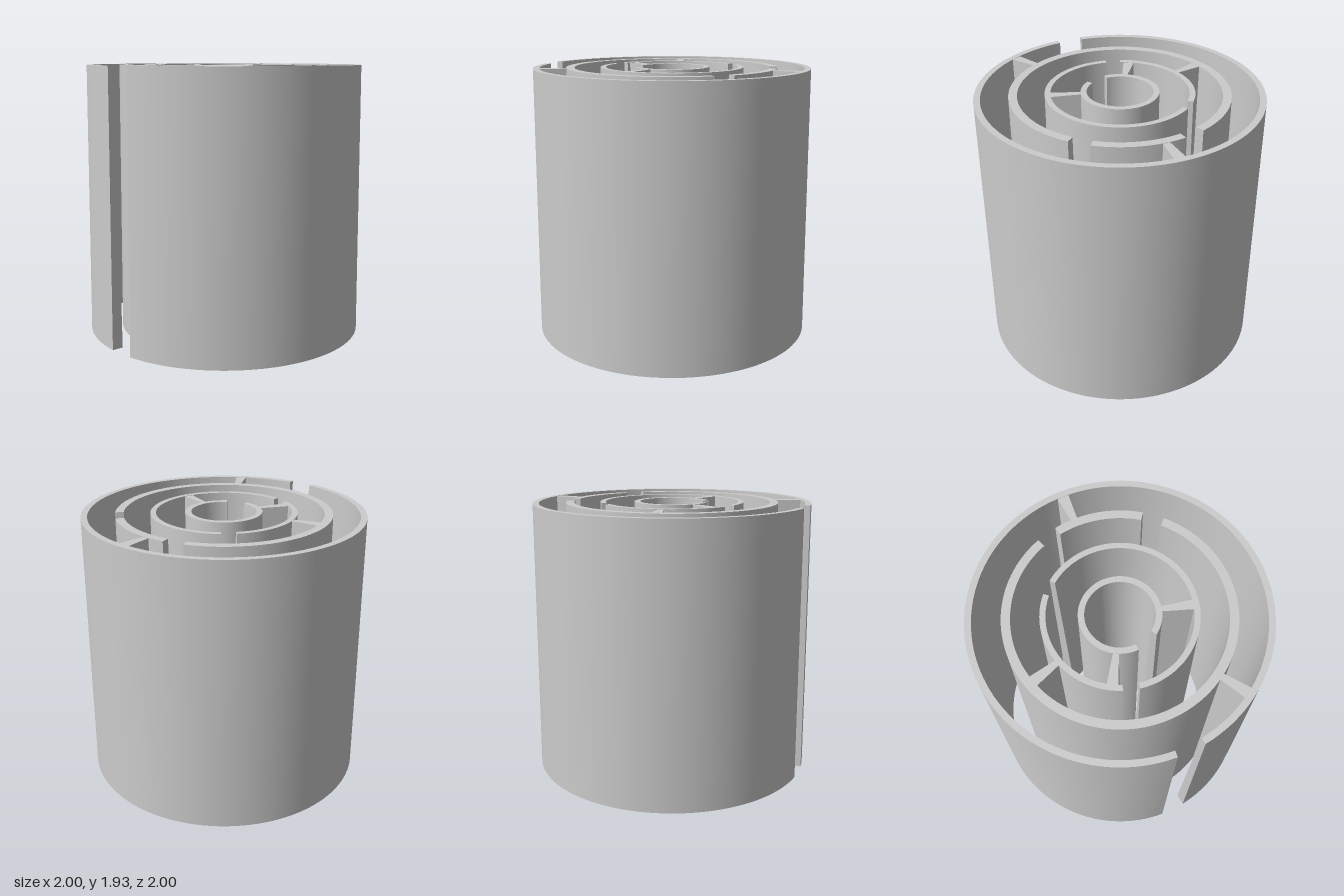
import * as THREE from 'three';
import { toCreasedNormals } from 'three/addons/utils/BufferGeometryUtils.js';

const HEIGHT = 1.93;
const DRAFT = 0.018; // walls get thinner towards the top
const rad = THREE.MathUtils.degToRad;
const material = new THREE.MeshStandardMaterial({ color: 0xcccccc });

// Skins a row of four-cornered sections and caps both ends.
function loft(sections) {
  const pos = [];
  const quad = (a, b, c, d) => [a, b, c, a, c, d].forEach((p) => pos.push(...p));
  for (let i = 0; i < sections.length - 1; i++) {
    const s = sections[i], t = sections[i + 1];
    for (let k = 0; k < 4; k++) {
      const n = (k + 1) % 4;
      quad(s[k], t[k], t[n], s[n]);
    }
  }
  const first = sections[0], last = sections[sections.length - 1];
  quad(first[0], first[1], first[2], first[3]);
  quad(last[3], last[2], last[1], last[0]);
  const geometry = new THREE.BufferGeometry();
  geometry.setAttribute('position', new THREE.Float32BufferAttribute(pos, 3));
  return toCreasedNormals(geometry, rad(30));
}

// Curved upright wall; angles in degrees run from +x towards +z.
function arcWall(inner, outer, from, to) {
  const steps = Math.ceil((to - from) / 3);
  const sections = [];
  for (let i = 0; i <= steps; i++) {
    const a = rad(from + ((to - from) * i) / steps);
    const at = (r, y) => [r * Math.cos(a), y, r * Math.sin(a)];
    sections.push([
      at(inner, 0), at(inner + DRAFT, HEIGHT), at(outer - DRAFT, HEIGHT), at(outer, 0),
    ]);
  }
  return loft(sections);
}

// Radial rib between two rings, wider at its outer end and at its foot.
function rib(r0, r1, angle, w0, w1) {
  const a = rad(angle);
  const section = (r, w) => {
    const at = (s, y) => [
      r * Math.cos(a) - s * Math.sin(a), y, r * Math.sin(a) + s * Math.cos(a),
    ];
    const foot = w / 2, top = foot - DRAFT;
    return [at(-foot, 0), at(foot, 0), at(top, HEIGHT - 0.002), at(-top, HEIGHT - 0.002)];
  };
  return loft([section(r0, w0), section(r1, w1)]);
}

export function createModel() {
  const model = new THREE.Group();
  model.name = 'roundMaze';
  const add = (name, geometry) => {
    const mesh = new THREE.Mesh(geometry, material);
    mesh.name = name;
    model.add(mesh);
  };

  // Concentric walls: name, inner radius, outer radius, start and end angle
  [
    ['outerWall', 0.92, 1.0, 93.6, 442.8],
    ['secondWallShort', 0.675, 0.77, -100.5, -54.3],
    ['secondWallLong', 0.675, 0.77, -43.3, 248.6],
    ['thirdWallLong', 0.452, 0.527, -128.5, 100],
    ['thirdWallShort', 0.452, 0.527, 112, 220],
    ['innerWall', 0.208, 0.285, 88, 414.8],
  ].forEach(([name, ...args]) => add(name, arcWall(...args)));

  // Ribs: name, inner radius, outer radius, angle, inner and outer width
  [
    ['backRib', 0.74, 0.95, -90, 0.08, 0.115],
    ['frontLeftRib', 0.74, 0.95, 57.6, 0.08, 0.115],
    ['rightRib', 0.5, 0.705, 164, 0.075, 0.115],
    ['innerLeftRib', 0.25, 0.48, 15.5, 0.07, 0.105],
    ['innerFrontRib', 0.25, 0.5, 119.5, 0.07, 0.115],
  ].forEach(([name, ...args]) => add(name, rib(...args)));

  return model;
}
